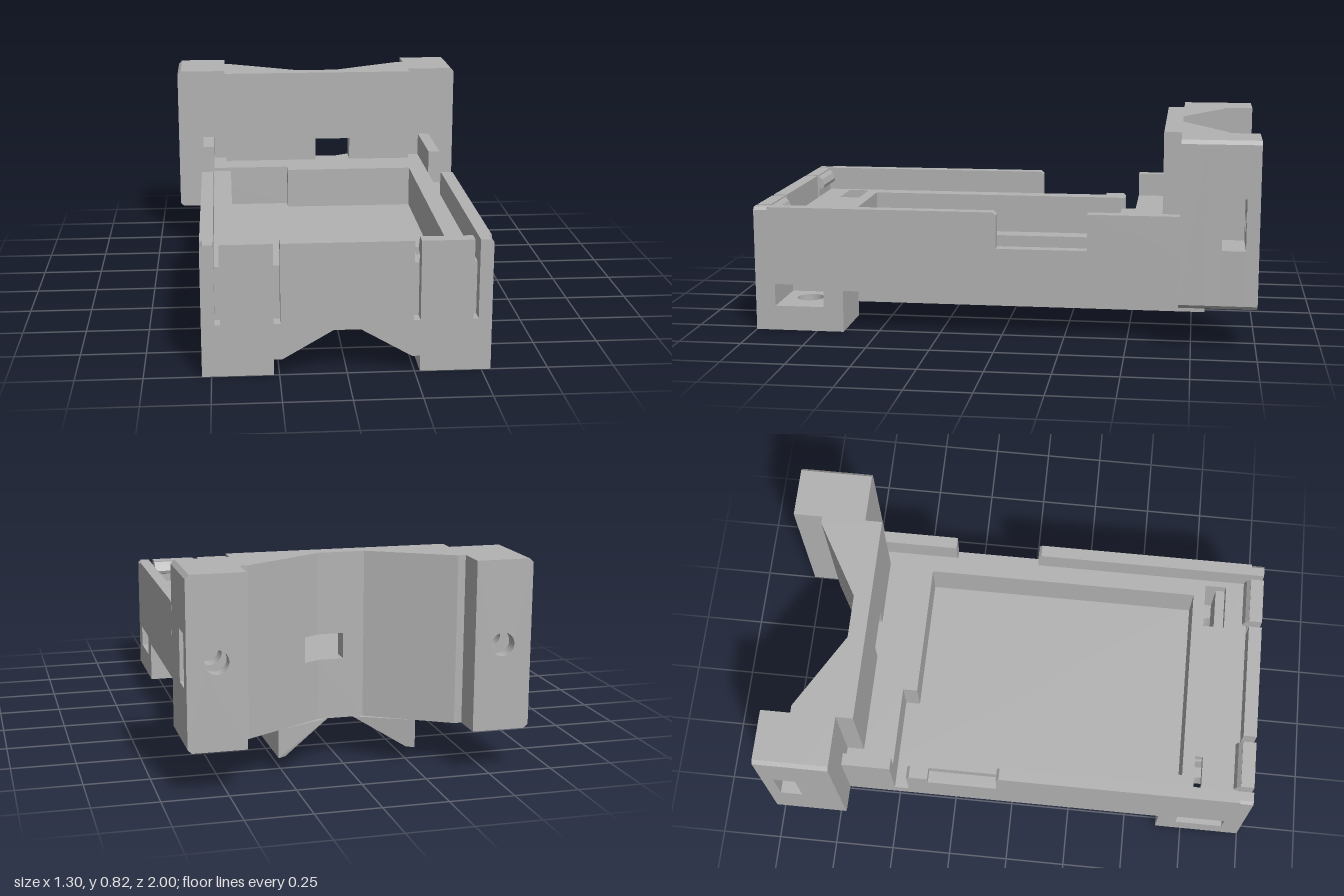
import * as THREE from 'three';

export function createModel() {
  const root = new THREE.Group();
  root.name = 'deviceTray';
  const grey = new THREE.MeshStandardMaterial({ color: 0xb2b2b2 });
  grey.name = 'plainGrey';

  const rect = (x0, y0, x1, y1) => [[x0, y0], [x1, y0], [x1, y1], [x0, y1]];
  const circle = (x, y, r) => Array.from({ length: 28 }, (_, i) => {
    const a = (i / 28) * Math.PI * 2;
    return [x + r * Math.cos(a), y + r * Math.sin(a)];
  });
  const mirror = (pts, s) => pts.map(([x, y]) => [x * s, y]);

  // Extrude an outline along y (points are x,z), z (points are x,y) or x (points are z,y)
  function slab(name, axis, from, to, outline, holes = []) {
    const vec = (pts) => pts.map(([a, b]) => new THREE.Vector2(a, b));
    const shape = new THREE.Shape(vec(outline));
    shape.holes = holes.map((h) => new THREE.Path(vec(h)));
    const g = new THREE.ExtrudeGeometry(shape, { depth: to - from, bevelEnabled: false });
    if (axis === 'y') g.rotateX(Math.PI / 2).translate(0, to, 0);
    if (axis === 'x') g.rotateY(-Math.PI / 2).translate(to, 0, 0);
    if (axis === 'z') g.translate(0, 0, from);
    const mesh = new THREE.Mesh(g, grey);
    mesh.name = name;
    root.add(mesh);
    return mesh;
  }

  const W = 0.535, IN = 0.485, BACK = -0.7, FRONT = 0.945;
  const sides = [1, -1];
  const both = (pts) => sides.map((s) => mirror(pts, s));

  // Tray floor: lowest layer carries the side nut slots, the next the drop holes
  slab('trayFloorLower', 'y', 0.17, 0.19, [
    [-W, BACK], [W, BACK], [W, 0.72], [0.28, 0.72], [0.28, 0.92], [W, 0.92], [W, FRONT],
    [-W, FRONT], [-W, 0.92], [-0.28, 0.92], [-0.28, 0.72], [-W, 0.72],
  ]);
  const narrowHole = both(rect(0.27, 0.76, 0.46, 0.81));
  const wideHole = both(rect(0.27, 0.76, 0.46, 0.85));
  slab('trayFloorUpper', 'y', 0.19, 0.23, rect(-W, BACK, W, FRONT), narrowHole);

  // Ledge around the sunken pocket, with a cable channel out of one side
  const ledge = (w) => [
    [-w, FRONT], [w, FRONT], [w, BACK], [-w, BACK], [-w, -0.5], [-0.15, -0.5], [-0.15, -0.44],
    [0.41, -0.44], [0.41, 0.71], [-0.41, 0.71], [-0.41, -0.44], [-w, -0.44],
  ];
  slab('ledgeLower', 'y', 0.23, 0.36, ledge(W), narrowHole);
  slab('ledgeUpper', 'y', 0.36, 0.405, ledge(IN), wideHole);

  // Side walls with gaps: [side, z from, z to, top]
  for (const [s, z0, z1, top] of [
    [1, 0.02, FRONT, 0.505], [1, BACK, -0.34, 0.505],
    [-1, -0.06, FRONT, 0.505], [-1, -0.44, -0.35, 0.405], [-1, BACK, -0.5, 0.505],
  ]) {
    const c = z0 === BACK ? 0 : 0.012; // softened top corners at the gaps
    slab('sideWall', 'x', s > 0 ? IN : -W, s > 0 ? W : -IN,
      [[z0, 0.36], [z1, 0.36], [z1, top], [z0 + c, top], [z0, top - c]]);
  }

  // Front wall, slit from the top to free two spring clips
  const comb = [[-W, 0.17], [W, 0.17], [W, 0.493], [W - 0.012, 0.505]];
  for (const [a, b] of [[0.485, 0.465], [0.27, 0.245], [-0.245, -0.27], [-0.465, -0.485]]) {
    comb.push([a, 0.505], [a, 0.2], [b, 0.2], [b, 0.505]);
  }
  comb.push([-W + 0.012, 0.505], [-W, 0.493]);
  slab('frontWall', 'z', FRONT, 1, comb);

  for (const s of sides) {
    // Hook on each spring clip
    const [h0, h1] = s > 0 ? [0.27, 0.465] : [-0.465, -0.27];
    slab('clipHook', 'x', h0, h1, [[FRONT, 0.44], [FRONT, 0.5], [0.93, 0.485], [0.92, 0.46], [0.925, 0.445]]);

    // Front foot: screw hole below, nut slot open to the outside above
    slab('footBase', 'y', 0, 0.1, mirror(rect(0.27, 0.64, W, 1), s), [circle(0.38 * s, 0.815, 0.055)]);
    slab('footSlot', 'y', 0.1, 0.17, mirror([
      [0.27, 0.64], [W, 0.64], [W, 0.72], [0.28, 0.72], [0.28, 0.92], [W, 0.92], [W, 1], [0.27, 1],
    ], s));

    // Keel rail under the tray, its rear end cut along the V of the back plate
    const keel = slab('keel', 'z', 0, 1, mirror(
      [[0.05, 0.17], [0.24, 0.06], [0.27, 0.06], [0.27, 0.17]], s));
    const p = keel.geometry.attributes.position;
    for (let i = 0; i < p.count; i++) {
      p.setZ(i, p.getZ(i) < 0.5 ? vee(p.getX(i)) : 1);
    }
    keel.geometry.computeVertexNormals();

    // Tall rear block: screw hole in its back, nut slot open to the outside
    const c = 0.015;
    const block = mirror([
      [0.43, 0.17], [0.65 - c, 0.17], [0.65, 0.17 + c], [0.65, 0.82 - c], [0.65 - c, 0.82], [0.43, 0.82],
    ], s);
    const bore = [circle(0.54 * s, 0.5, 0.045)];
    slab('rearBlockBack', 'z', -1, -0.95, block, bore);
    slab('rearBlockSlot', 'z', -0.95, -0.86, mirror([
      [0.43, 0.17], [0.65 - c, 0.17], [0.65, 0.17 + c], [0.65, 0.4], [0.445, 0.4], [0.445, 0.6],
      [0.65, 0.6], [0.65, 0.82 - c], [0.65 - c, 0.82], [0.43, 0.82],
    ], s));
    slab('rearBlockBore', 'z', -0.86, -0.8, block, bore);
    slab('rearBlockFront', 'z', -0.8, BACK, block);
  }

  // Rear face of the back plate as a function of x
  function vee(x) {
    return BACK - 0.18 * THREE.MathUtils.clamp((Math.abs(x) - 0.09) / 0.31, 0, 1);
  }

  // Back plate with a V-shaped rear and a small cable window
  const plate = (x0, x1) => {
    const xs = [x0, ...[-0.4, -0.09, 0.09, 0.4].filter((x) => x > x0 && x < x1), x1];
    return [[x1, -0.63], [x0, -0.63], ...xs.map((x) => [x, vee(x)])];
  };
  slab('backPlateLower', 'y', 0.17, 0.405, [
    [0.43, BACK], [-0.43, BACK], [-0.43, -0.88], [-0.4, -0.88], [-0.09, BACK - 0.0005],
    [0.09, BACK - 0.0005], [0.4, -0.88], [0.43, -0.88],
  ]);
  slab('backPlateWindowSide', 'y', 0.405, 0.505, plate(-0.43, -0.01));
  slab('backPlateWindowSide', 'y', 0.405, 0.505, plate(0.15, 0.43));
  slab('backPlateUpper', 'y', 0.505, 0.82, plate(-0.43, 0.43));

  return root;
}
